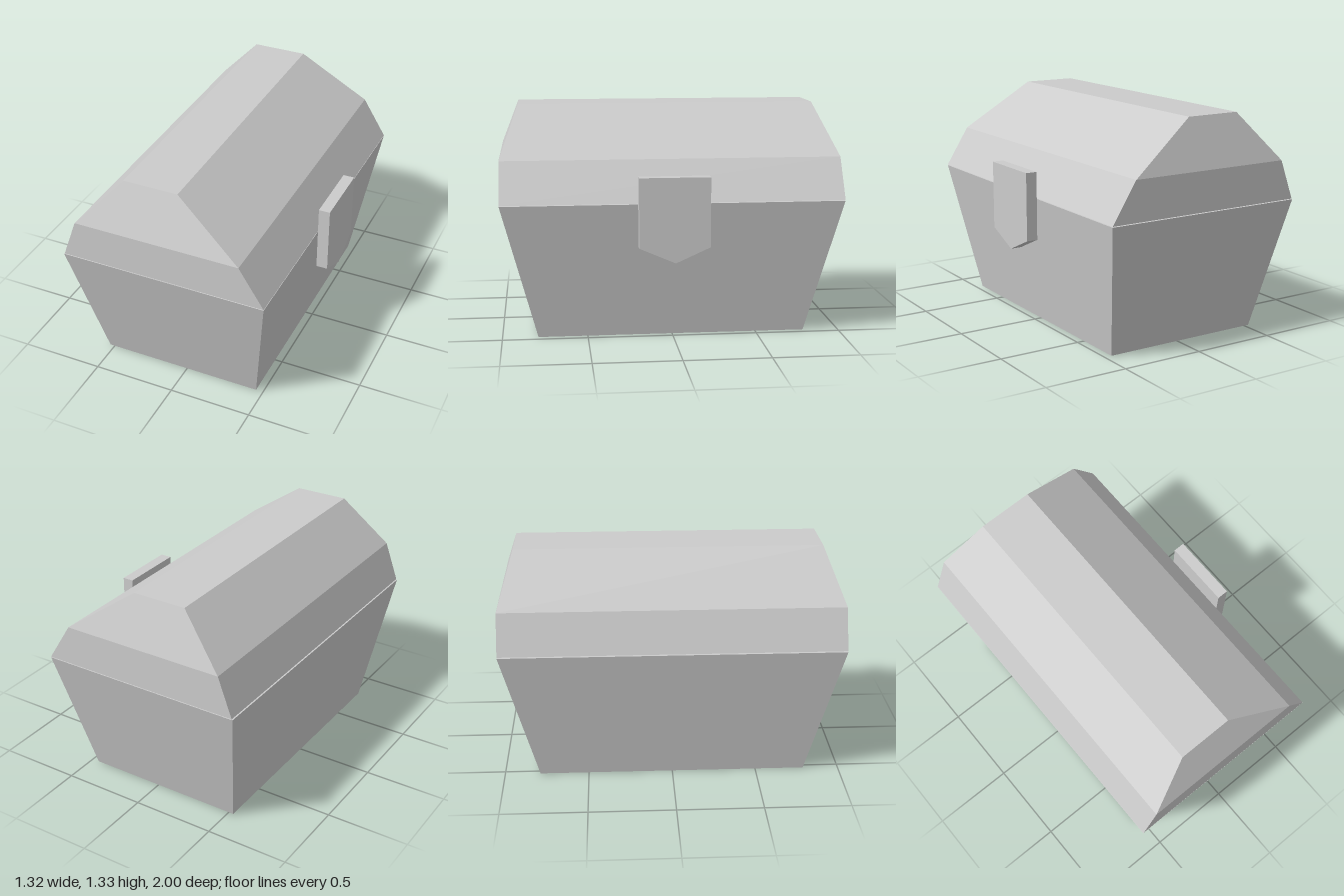
import * as THREE from 'three';

const material = new THREE.MeshStandardMaterial({ color: 0xcccccc, flatShading: true });

// Closed solid lofted through rectangular rings [y, xMin, xMax, zMin, zMax], bottom to top.
function loftRings(rings) {
  const positions = [];
  const index = [];
  for (const [y, x0, x1, z0, z1] of rings) {
    positions.push(x0, y, z1, x1, y, z1, x1, y, z0, x0, y, z0);
  }
  for (let r = 0; r < rings.length - 1; r++) {
    for (let i = 0; i < 4; i++) {
      const a = r * 4 + i;
      const b = r * 4 + ((i + 1) % 4);
      index.push(a, b, b + 4, a, b + 4, a + 4);
    }
  }
  const t = (rings.length - 1) * 4;
  index.push(0, 2, 1, 0, 3, 2, t, t + 1, t + 2, t, t + 2, t + 3);
  const indexed = new THREE.BufferGeometry();
  indexed.setAttribute('position', new THREE.Float32BufferAttribute(positions, 3));
  indexed.setIndex(index);
  const geometry = indexed.toNonIndexed();
  geometry.computeVertexNormals();
  return geometry;
}

function addPart(group, name, geometry) {
  const mesh = new THREE.Mesh(geometry, material);
  mesh.name = name;
  group.add(mesh);
  return mesh;
}

export function createModel() {
  const chest = new THREE.Group();
  chest.name = 'chest';

  // Box widening towards the rim
  addPart(chest, 'base', loftRings([
    [0, -0.53, 0.455, -0.79, 0.79],
    [0.803, -0.658, 0.585, -1, 1],
  ]));

  // Faceted lid: steep lower band, then slopes up to a narrow flat top
  addPart(chest, 'lid', loftRings([
    [0.808, -0.653, 0.585, -1, 1],
    [1.043, -0.567, 0.437, -1, 1],
    [1.333, -0.3, 0.03, -0.91, 0.89],
  ]));

  // Pointed latch plate standing just clear of the +x side
  const plate = new THREE.Shape([
    [-0.21, 0.965], [-0.21, 0.56], [0, 0.47], [0.2, 0.56], [0.2, 0.965],
  ].map(([x, y]) => new THREE.Vector2(x, y)));
  const latch = addPart(chest, 'latch',
    new THREE.ExtrudeGeometry(plate, { depth: 0.068, bevelEnabled: false }));
  latch.rotation.y = Math.PI / 2;
  latch.position.x = 0.589;

  return chest;
}
